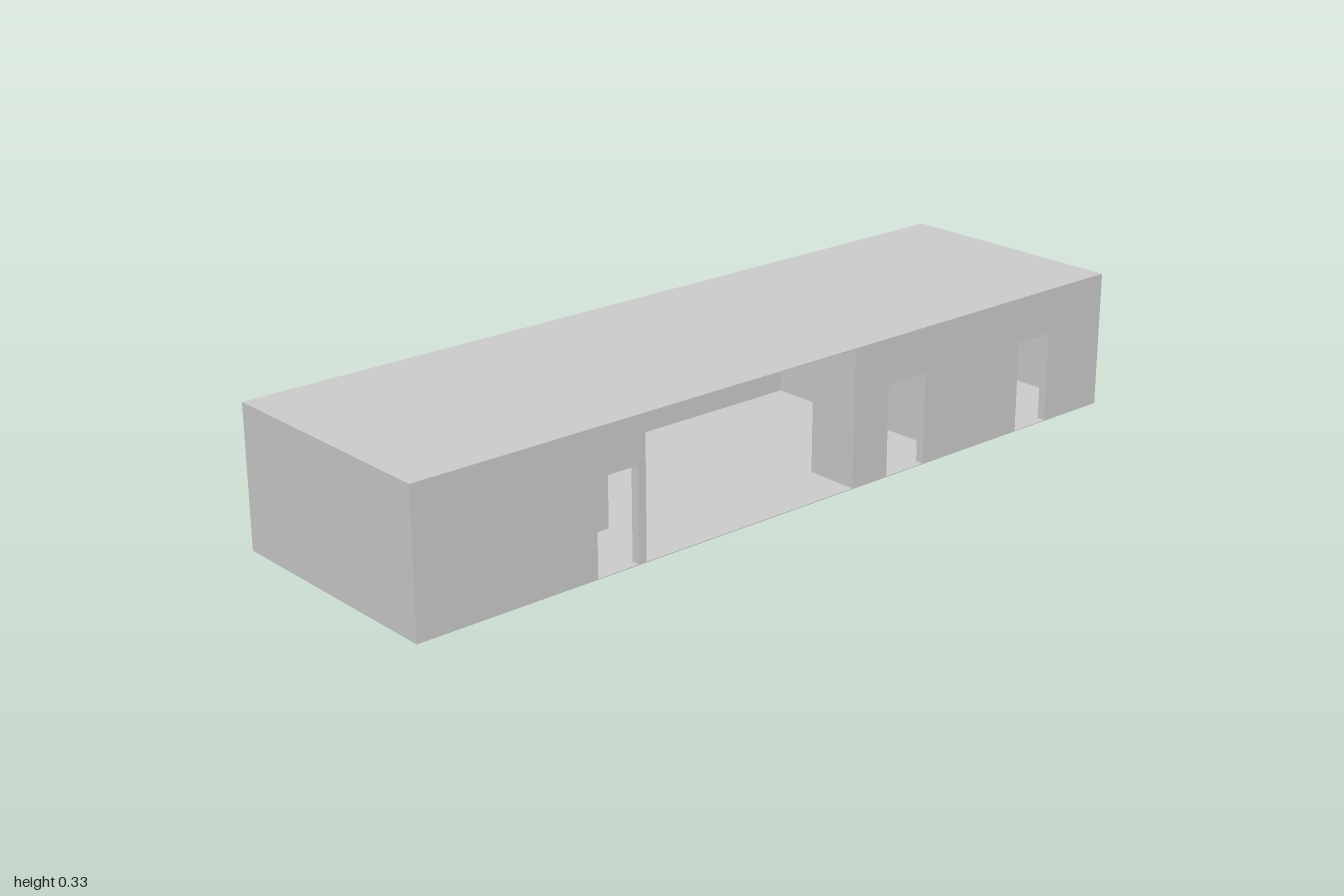
import * as THREE from 'three';

const H = 0.329;      // overall height
const D = 0.295;      // half depth
const T = 0.02;       // wall thickness
const S = 0.002;      // floor and roof sheet thickness
const DOOR = 0.22;    // door head height
const SILL = 0.07, HEAD = 0.18;

const material = new THREE.MeshStandardMaterial({ color: 0xcccccc, flatShading: true });

// Upright wall running along 'x' or 'z', centred on `at` across its thickness.
function wall(name, axis, at, from, to, { doors = [], windows = [] } = {}) {
  const top = H - S;
  const shape = new THREE.Shape();
  shape.moveTo(from, S);
  // doors are notches in the bottom edge
  for (const [a, b] of doors) {
    shape.lineTo(a, S);
    shape.lineTo(a, DOOR);
    shape.lineTo(b, DOOR);
    shape.lineTo(b, S);
  }
  shape.lineTo(to, S);
  shape.lineTo(to, top);
  shape.lineTo(from, top);
  shape.closePath();
  // windows are holes
  for (const [a, b] of windows) {
    const hole = new THREE.Path();
    hole.moveTo(a, SILL);
    hole.lineTo(a, HEAD);
    hole.lineTo(b, HEAD);
    hole.lineTo(b, SILL);
    hole.closePath();
    shape.holes.push(hole);
  }
  const geometry = new THREE.ExtrudeGeometry(shape, { depth: T, bevelEnabled: false });
  geometry.translate(0, 0, -T / 2);
  if (axis === 'z') geometry.rotateY(-Math.PI / 2);
  const mesh = new THREE.Mesh(geometry, material);
  mesh.name = name;
  mesh.position[axis === 'x' ? 'z' : 'x'] = at;
  return mesh;
}

function sheet(name, y) {
  const mesh = new THREE.Mesh(new THREE.BoxGeometry(2, S, 2 * D), material);
  mesh.name = name;
  mesh.position.y = y;
  return mesh;
}

export function createModel() {
  const house = new THREE.Group();
  house.name = 'house';
  const inner = D - T;       // inside face of front and back walls
  const face = D - T / 2;    // centre line of front and back walls

  // Floor and flat roof
  house.add(sheet('floor', S / 2), sheet('roof', H - S / 2));

  // Outer walls, with the open porch between the two front walls
  house.add(
    wall('frontWallRight', 'x', face, -1, -0.428, { doors: [[-0.556, -0.449]] }),
    wall('frontWallLeft', 'x', face, 0.168, 1, { doors: [[0.275, 0.393], [0.708, 0.814]] }),
    wall('backWall', 'x', -face, -1, 1, {
      windows: [[-0.852, -0.73], [-0.547, -0.422], [-0.324, -0.202], [-0.194, -0.074], [0.127, 0.227]],
    }),
    wall('rightEndWall', 'z', -1 + T / 2, -inner, inner),
    wall('leftEndWall', 'z', 1 - T / 2, -inner, inner, { doors: [[-0.169, -0.058]] }),
  );

  // Partitions around the bedroom and bathroom on the -x side
  house.add(
    wall('bedroomPartition', 'z', -0.582, -inner, 0.15),
    wall('bedroomPartitionStub', 'z', -0.582, 0.25, inner),
    wall('bathroomPartition', 'z', -0.387, -inner, 0.09),
    wall('bathroomReturn', 'x', 0.1, -0.473, -0.377),
  );

  // Partitions on the +x side
  house.add(
    wall('porchStub', 'z', 0.178, 0.165, inner),
    wall('kitchenPartition', 'z', 0.498, -inner, inner, { doors: [[-0.159, -0.055]] }),
    wall('roomPartition', 'x', -0.038, 0.585, 1 - T, { doors: [[0.77, 0.877]] }),
    wall('closetFront', 'x', 0.092, 0.508, 0.705),
    wall('closetSide', 'z', 0.695, -0.028, 0.082),
  );
  return house;
}
